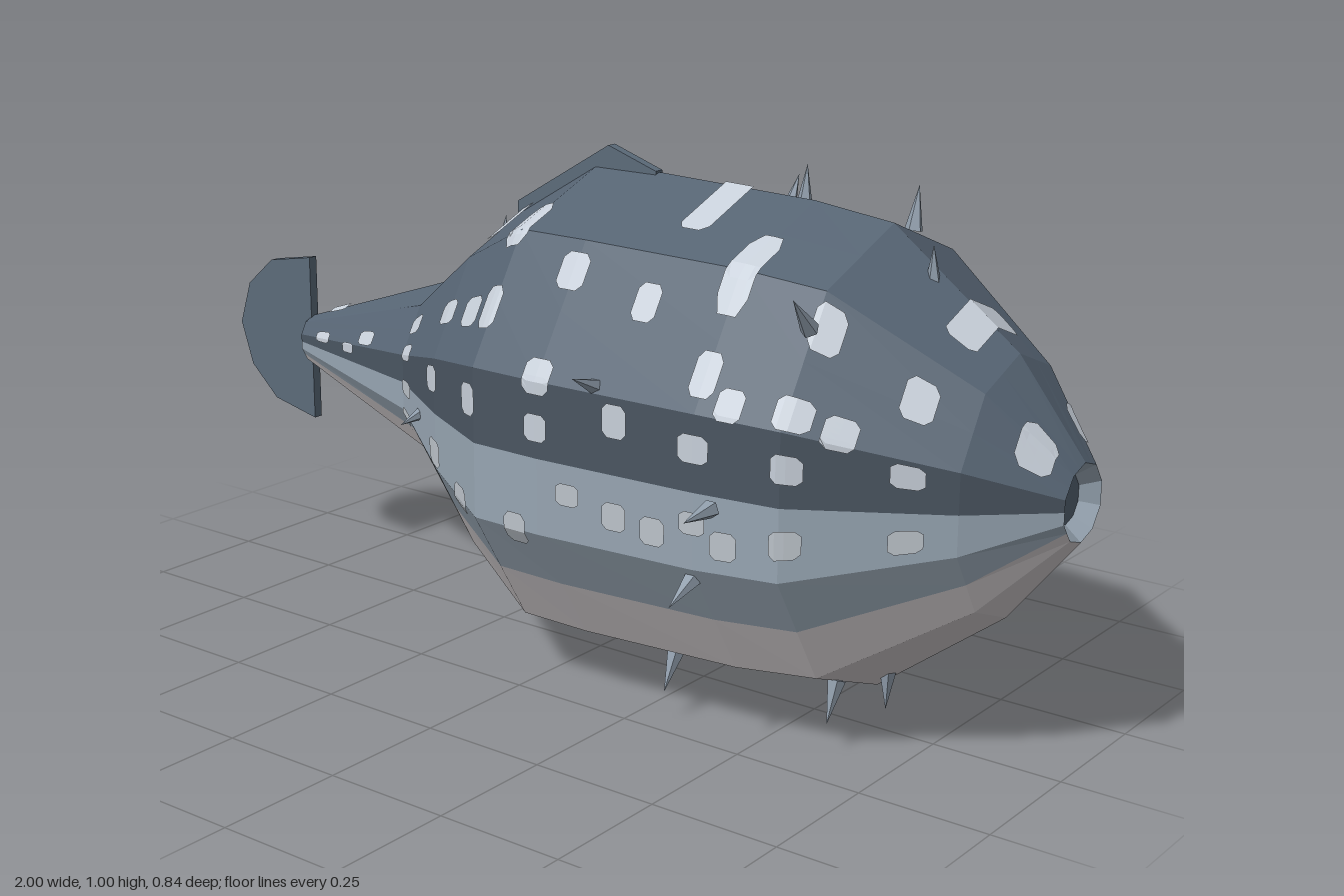
import * as THREE from 'three';

const mat = (name, color) => Object.assign(new THREE.MeshStandardMaterial({ color }), { name });

const CY = 0.503, CZ = -0.02;
// Body sections along the length: x, half height, half depth
const SECTIONS = [
  [-0.79, 0.05, 0.038], [-0.4, 0.18, 0.15], [-0.2, 0.35, 0.285], [-0.02, 0.457, 0.385], [0.13, 0.457, 0.39],
  [0.46, 0.445, 0.375], [0.62, 0.425, 0.355], [0.87, 0.235, 0.195], [1, 0.07, 0.07],
];

// Point of a ten-sided section; t counts corners from the top towards +z
function ringPoint(x, ry, rz, t) {
  const k = Math.floor(t), f = t - k, a = k * Math.PI / 5, b = (k + 1) * Math.PI / 5;
  const y = Math.cos(a) * (1 - f) + Math.cos(b) * f;
  const z = Math.sin(a) * (1 - f) + Math.sin(b) * f;
  return [x, CY + ry * y, CZ + rz * z];
}

function radii(x) {
  let i = 0;
  while (i < SECTIONS.length - 2 && x > SECTIONS[i + 1][0]) i++;
  const [a, b] = [SECTIONS[i], SECTIONS[i + 1]];
  const f = (x - a[0]) / (b[0] - a[0]);
  return [a[1] + (b[1] - a[1]) * f, a[2] + (b[2] - a[2]) * f];
}

function surface(x, t, lift) {
  const [ry, rz] = radii(x);
  return ringPoint(x, ry + lift, rz + lift, t);
}

// Corner parameter of the surface point at a given height
function heightToT(x, y) {
  let lo = 0, hi = 5;
  for (let i = 0; i < 30; i++) {
    const m = (lo + hi) / 2;
    if (surface(x, m, 0)[1] > y) lo = m; else hi = m;
  }
  return lo;
}

const addQuad = (out, a, b, c, d) => out.push(...a, ...b, ...c, ...a, ...c, ...d);

// Unshared corners give flat facets
function facets(positions) {
  const g = new THREE.BufferGeometry();
  g.setAttribute('position', new THREE.Float32BufferAttribute(positions, 3));
  g.computeVertexNormals();
  return g;
}

// Mirrored lengthwise band of the skin through a list of rings
function band(rings, from, to) {
  const out = [];
  for (let i = 0; i < rings.length - 1; i++) {
    for (let t = from; t < to; t += 0.5) {
      for (const [t0, t1] of [[t, t + 0.5], [-t - 0.5, -t]]) {
        addQuad(out, ringPoint(...rings[i], t0), ringPoint(...rings[i], t1),
          ringPoint(...rings[i + 1], t1), ringPoint(...rings[i + 1], t0));
      }
    }
  }
  return facets(out);
}

export function createModel() {
  const group = new THREE.Group();
  const back = mat('slate back', 0x566473);
  const dark = mat('dark side band', 0x4a5561);
  const flank = mat('grey blue flank', 0x97a5b2);
  const belly = mat('pale grey belly', 0xcfcacc);
  const pale = mat('pale spots', 0xc8d0da);
  const dim = mat('flank spots', 0xbcc3ca);
  const finMat = mat('fin slate', 0x5c6b7a);
  const spineMat = mat('spine grey', 0x909dab);

  const add = (name, geometry, material) => {
    const m = new THREE.Mesh(geometry, material);
    m.name = name;
    group.add(m);
    return m;
  };

  // Body in lengthwise colour bands, closed at the tail
  const rings = [[-0.79, 0, 0], ...SECTIONS];
  add('bodyBack', band(rings, 0, 2), back);
  add('bodySideBand', band(rings, 2, 2.5), dark);
  add('bodyFlank', band(rings, 2.5, 3.5), flank);
  add('bodyBelly', band(rings, 3.5, 5), belly);

  // Hollow mouth
  const lip = SECTIONS[SECTIONS.length - 1], throat = [0.97, 0.045, 0.045];
  add('mouthWall', band([lip, throat], 0, 5), flank);
  add('mouthFloor', band([throat, [0.97, 0, 0]], 0, 5), back);

  // Rounded spot laid over the surface; end is the height of its two ends
  function spot(out, x, w, tc, th, end) {
    const us = [0, 0.2, 0.5, 0.8, 1], hs = [end, 1, 1, 1, end], n = 6;
    const p = (i, j) => surface(x + (us[i] - 0.5) * w, tc + th * hs[i] * (2 * j / n - 1), 0.005);
    for (let i = 0; i < 4; i++)
      for (let j = 0; j < n; j++) addQuad(out, p(i, j), p(i, j + 1), p(i + 1, j + 1), p(i + 1, j));
  }
  const paleOut = [], dimOut = [];
  // Side spots, mirrored: x, y, width, height
  const upper = [
    [-0.03, 0.87, 0.06, 0.06], [0.13, 0.82, 0.06, 0.06], [0.3, 0.79, 0.05, 0.06], [0.46, 0.845, 0.06, 0.11],
    [0.46, 0.7, 0.05, 0.07], [0.64, 0.785, 0.05, 0.07], [-0.1, 0.715, 0.06, 0.05], [-0.03, 0.74, 0.05, 0.07],
    [-0.2, 0.69, 0.06, 0.04], [0.13, 0.65, 0.06, 0.06], [0.3, 0.6, 0.05, 0.06],
    [0.52, 0.66, 0.05, 0.05], [0.63, 0.66, 0.06, 0.05], [0.7, 0.63, 0.05, 0.05], [0.79, 0.68, 0.05, 0.06],
    [-0.37, 0.62, 0.05, 0.03], [-0.37, 0.57, 0.05, 0.03], [-0.21, 0.57, 0.05, 0.05], [-0.04, 0.58, 0.05, 0.06],
    [0.13, 0.56, 0.05, 0.05], [0.46, 0.58, 0.06, 0.05], [0.63, 0.57, 0.05, 0.05], [0.8, 0.565, 0.05, 0.04],
    [0.95, 0.595, 0.05, 0.05], [-0.54, 0.56, 0.05, 0.025], [-0.6, 0.53, 0.04, 0.02], [-0.7, 0.53, 0.05, 0.02],
  ];
  const lower = [
    [-0.37, 0.5, 0.05, 0.03], [-0.37, 0.44, 0.05, 0.03], [-0.2, 0.43, 0.05, 0.05], [-0.08, 0.38, 0.05, 0.05],
    [0.08, 0.365, 0.05, 0.06], [0.2, 0.45, 0.05, 0.04], [0.3, 0.43, 0.05, 0.05], [0.38, 0.42, 0.05, 0.05],
    [0.46, 0.45, 0.05, 0.04], [0.52, 0.42, 0.05, 0.05], [0.63, 0.44, 0.05, 0.05], [0.8, 0.455, 0.05, 0.04],
  ];
  for (const [list, out] of [[upper, paleOut], [lower, dimOut]]) {
    for (const [x, y, w, h] of list) {
      const t0 = heightToT(x, y + h / 2), t1 = heightToT(x, y - h / 2);
      for (const s of [1, -1]) spot(out, x, w, s * (t0 + t1) / 2, (t1 - t0) / 2, 0.65);
    }
  }
  // Bars across the back: x, width, half span
  const bars = [[-0.2, 0.06, 0.68], [0.3, 0.06, 0.66], [0.8, 0.055, 0.58], [-0.7, 0.05, 0.5]];
  for (const [x, w, th] of bars) spot(paleOut, x, w, 0, th, 0.9);
  add('paleSpots', facets(paleOut), pale);
  add('flankSpots', facets(dimOut), dim);

  // Thin upright fins
  function fin(name, points) {
    const shape = new THREE.Shape(points.map(p => new THREE.Vector2(...p)));
    const g = new THREE.ExtrudeGeometry(shape, { depth: 0.02, bevelEnabled: false });
    add(name, g.translate(0, 0, CZ - 0.01), finMat);
  }
  fin('tailFin', [[-0.785, 0.33], [-0.785, 0.68], [-0.9, 0.66], [-0.97, 0.6], [-1, 0.51],
    [-0.97, 0.42], [-0.9, 0.355]]);
  fin('dorsalFin', [[-0.21, 0.8], [0.12, 0.9], [0.12, 0.963], [0.01, 1], [-0.21, 0.87]]);

  // Spines pointing straight out from the body axis: tip x, y, z
  const spineGeo = new THREE.ConeGeometry(0.017, 0.08, 5).translate(0, -0.04, 0).toNonIndexed();
  spineGeo.computeVertexNormals();
  const tips = [
    [0.41, 1, -0.07], [0.615, 0.98, -0.11], [0.71, 0.905, 0], [-0.3, 0.82, -0.08], [-0.16, 0.85, -0.2],
    [0.27, 0.94, -0.26], [0.62, 0.85, 0.29], [0.25, 0.68, 0.4], [0.5, 0.48, 0.42], [0.45, 0.31, 0.39],
    [-0.3, 0.46, 0.24], [0.31, 0.06, 0.21], [0.62, 0.06, 0.15], [0.65, 0.045, 0], [0.17, 0.005, -0.17],
    [0.04, 0.22, -0.4], [0.1, 0.24, -0.42], [0.45, 0.13, -0.31],
  ];
  const up = new THREE.Vector3(0, 1, 0);
  for (const [x, y, z] of tips) {
    const m = add('spine', spineGeo, spineMat);
    m.position.set(x, y, z);
    m.quaternion.setFromUnitVectors(up, new THREE.Vector3(0, y - CY, z - CZ).normalize());
  }

  // Small fin on the right flank
  const side = new THREE.ConeGeometry(0.032, 0.11, 3).rotateZ(-Math.PI / 2).toNonIndexed();
  side.computeVertexNormals();
  add('sideFin', side, dark).position.set(0.42, 0.425, -0.395);

  return group;
}
